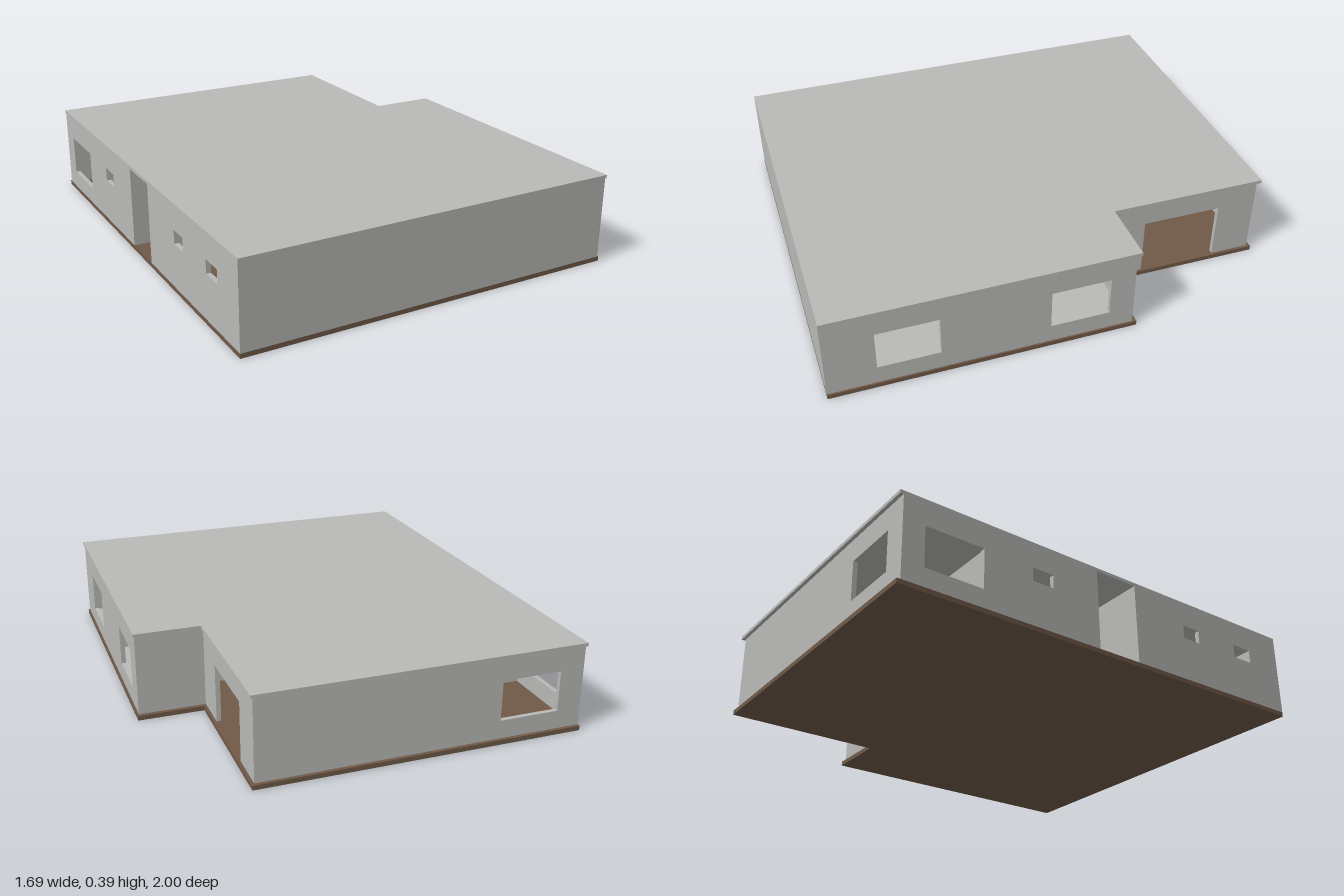
import * as THREE from 'three';

const FLOOR = 0.02, CEIL = 0.375, TOP = 0.39, T = 0.02;

export function createModel() {
  const house = new THREE.Group();
  house.name = 'house';
  const plaster = new THREE.MeshStandardMaterial({ color: 0xb9b9b7 });
  plaster.name = 'grey plaster';
  const brown = new THREE.MeshStandardMaterial({ color: 0x705a48 });
  brown.name = 'brown floor';

  const add = (name, geometry, material) => {
    const mesh = new THREE.Mesh(geometry, material);
    mesh.name = name;
    house.add(mesh);
    return mesh;
  };

  // L-shaped slab used for both floor and roof
  const slab = (name, y0, y1, material) => {
    const outline = new THREE.Shape([
      [-0.845, -1], [0.845, -1], [0.845, 0.305], [0.56, 0.305], [0.56, 1], [-0.845, 1],
    ].map(([x, y]) => new THREE.Vector2(x, y)));
    const g = new THREE.ExtrudeGeometry(outline, { depth: y1 - y0, bevelEnabled: false });
    g.rotateX(-Math.PI / 2).translate(0, y0, 0);
    add(name, g, material);
  };
  slab('floorSlab', 0, FLOOR, brown);
  slab('roofSlab', CEIL, TOP, plaster);

  // Wall panel from u0 to u1; windows are [u0, u1, y0, y1], doors are [u0, u1, top]
  const panel = (u0, u1, windows, doors, t) => {
    const s = new THREE.Shape();
    s.moveTo(u0, FLOOR);
    for (const [a, b, top] of doors) {
      s.lineTo(a, FLOOR).lineTo(a, top).lineTo(b, top).lineTo(b, FLOOR);
    }
    s.lineTo(u1, FLOOR).lineTo(u1, CEIL).lineTo(u0, CEIL).closePath();
    for (const [a, b, y0, y1] of windows) {
      const h = new THREE.Path();
      h.moveTo(a, y0).lineTo(a, y1).lineTo(b, y1).lineTo(b, y0).closePath();
      s.holes.push(h);
    }
    return new THREE.ExtrudeGeometry(s, { depth: t, bevelEnabled: false });
  };
  // Wall running along z, with its +x face at x
  const wallZ = (name, x, z0, z1, windows = [], doors = [], t = T) =>
    add(name, panel(z0, z1, windows, doors, t).rotateY(-Math.PI / 2).translate(x, 0, 0), plaster);
  // Wall running along x, with its -z face at z
  const wallX = (name, z, x0, x1, windows = [], doors = [], t = T) =>
    add(name, panel(x0, x1, windows, doors, t).translate(0, 0, z), plaster);

  // Outer walls
  wallX('frontWall', 1 - T, -0.845, 0.838);
  wallX('backWall', -0.985, -0.845, 0.548, [[-0.74, -0.48, 0.1, 0.275]]);
  wallX('notchBackWall', -0.287, 0.528, 0.838);
  wallZ('leftWall', 0.838, -0.287 + T, 1 - T,
    [[-0.18, 0.075, 0.1, 0.275], [0.535, 0.795, 0.1, 0.275]]);
  wallZ('notchSideWall', 0.548, -0.985 + T, -0.287, [], [[-0.81, -0.46, 0.275]]);

  // Right wall is split by a full-height entrance
  const X = -0.845 + T;
  wallZ('rightRearWall', X, -0.985 + T, -0.07,
    [[-0.89, -0.63, 0.1, 0.275], [-0.4, -0.3, 0.215, 0.275]]);
  wallZ('rightFrontWall', X, 0.136, 1 - T,
    [[0.41, 0.5, 0.215, 0.275], [0.72, 0.82, 0.215, 0.275]]);

  // Inner partitions around the entrance hall and rooms
  wallX('rearPartition', -0.535, X, 0.3, [], [], 0.015);
  wallX('hallRearPartition', -0.085, X, 0.485, [], [], 0.015);
  wallX('hallFrontPartition', 0.136, X, 0.485, [], [], 0.015);
  wallX('roomPartition', 0.43, 0.5, 0.838 - T, [], [], 0.015);
  wallZ('longPartition', 0.5, -0.287 + T, 1 - T, [], [], 0.015);

  // Pale floor covering in the side rooms
  const cover = add('roomFloorCovering', new THREE.BoxGeometry(0.318, 0.004, 1.247), plaster);
  cover.position.set(0.659, FLOOR + 0.002, 0.3565);

  return house;
}
